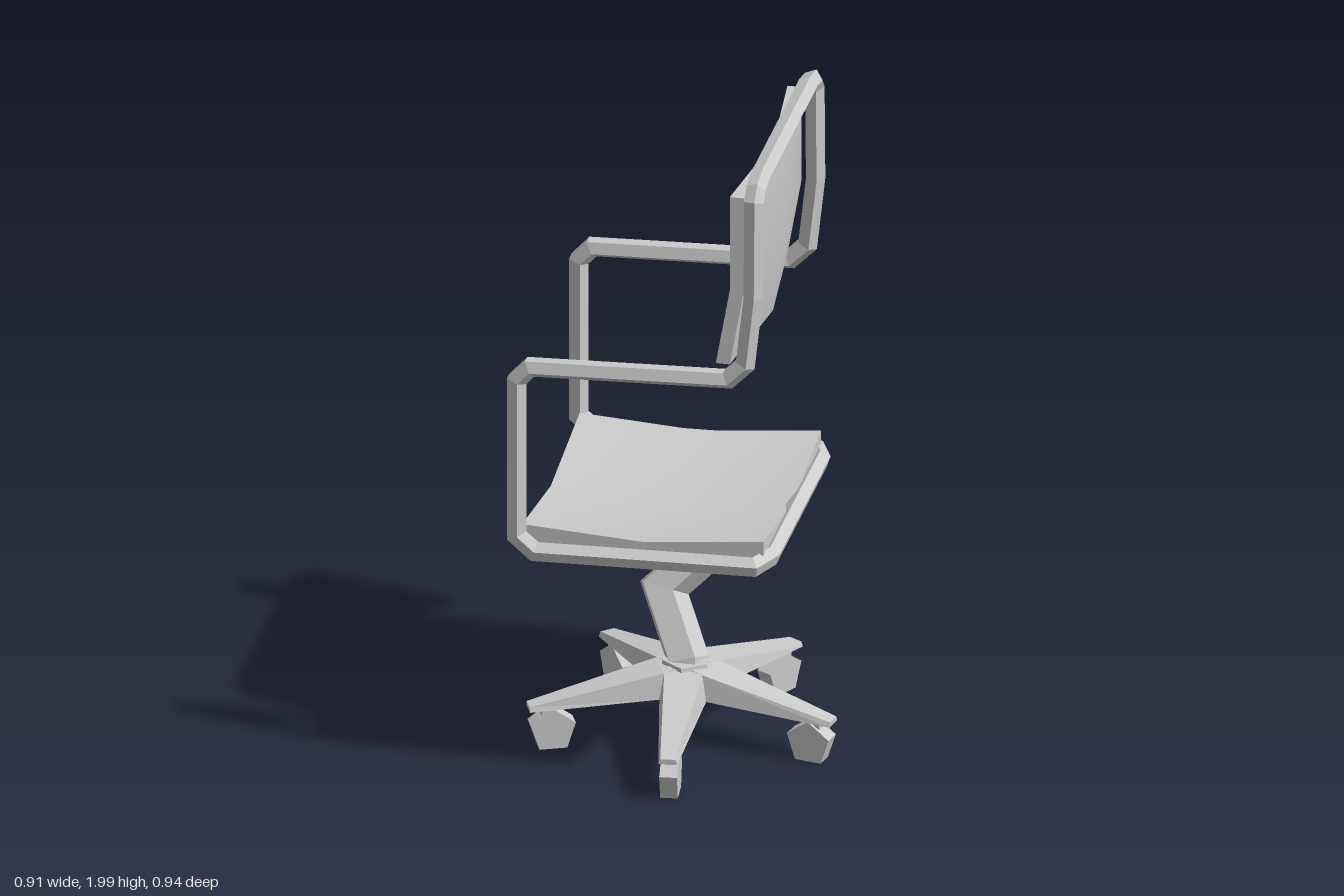
import * as THREE from 'three';

const grey = (opts) => new THREE.MeshStandardMaterial({ color: 0xcccccc, ...opts });
const faceted = grey({ flatShading: true });
const smooth = grey();
const V = (x, y, z) => new THREE.Vector3(x, y, z);
const MID_Z = -0.025; // symmetry plane of seat, back and frame

function mesh(name, geometry, material) {
  const m = new THREE.Mesh(geometry, material);
  m.name = name;
  return m;
}

// Skin a list of equal-sized rings; a closed list joins end to start, an open one is capped.
function loft(rings, closed) {
  const n = rings[0].length, index = [];
  const last = closed ? rings.length : rings.length - 1;
  for (let i = 0; i < last; i++) {
    const a = i * n, b = ((i + 1) % rings.length) * n;
    for (let j = 0; j < n; j++) {
      const k = (j + 1) % n;
      index.push(a + j, a + k, b + k, a + j, b + k, b + j);
    }
  }
  if (!closed) {
    const e = (rings.length - 1) * n;
    for (let j = 1; j < n - 1; j++) index.push(0, j + 1, j, e, e + j, e + j + 1);
  }
  const g = new THREE.BufferGeometry().setFromPoints(rings.flat());
  g.setIndex(index);
  g.computeVertexNormals();
  return g;
}

// Sweep a regular polygon along a polyline with mitred corners.
function sweep(path, radius, sides, closed, phase = 0) {
  const n = path.length;
  const dir = (i) => path[(i + 1) % n].clone().sub(path[(i + n) % n]).normalize();
  const first = dir(0);
  const u = V(1, 0, 0).addScaledVector(first, -first.x).normalize();
  const v = first.clone().cross(u);
  let ring = [];
  for (let j = 0; j < sides; j++) {
    const a = phase + (j / sides) * Math.PI * 2;
    ring.push(path[0].clone().addScaledVector(u, radius * Math.cos(a)).addScaledVector(v, radius * Math.sin(a)));
  }
  const rings = [ring];
  for (let i = 1; i < n; i++) {
    const along = dir(i - 1);
    const normal = along.clone();
    if (closed || i < n - 1) normal.add(dir(i));
    ring = ring.map((p) => {
      const t = path[i].clone().sub(p).dot(normal) / along.dot(normal);
      return p.clone().addScaledVector(along, t);
    });
    rings.push(ring);
  }
  return loft(rings, closed);
}

// Move every vertex of a geometry by a rule.
function bend(geometry, rule) {
  const p = geometry.attributes.position, q = V(0, 0, 0);
  for (let i = 0; i < p.count; i++) {
    rule(q.fromBufferAttribute(p, i));
    p.setXYZ(i, q.x, q.y, q.z);
  }
  geometry.computeVertexNormals();
  return geometry;
}

// One continuous tube: seat rails, front posts, arms and back hoop.
function buildFrame() {
  const half = [ // x, y, distance from the symmetry plane
    [0.32, 0.76, 0.335], [0.285, 0.758, 0.412], [-0.365, 0.742, 0.415], [-0.42, 0.79, 0.415],
    [-0.42, 1.29, 0.415], [-0.38, 1.334, 0.415], [0.21, 1.357, 0.415], [0.262, 1.41, 0.415],
    [0.286, 1.63, 0.415], [0.286, 1.93, 0.405], [0.286, 1.96, 0.38], [0.286, 1.973, 0.315],
  ];
  const side = (s) => half.map(([x, y, w]) => V(x, y, MID_Z + s * w));
  const path = [V(0.32, 0.76, MID_Z), ...side(1), V(0.286, 1.973, MID_Z), ...side(-1).reverse()];
  return mesh('tubularFrame', sweep(path, 0.03, 5, true, Math.PI / 2), faceted);
}

// Sagging seat pad: lowest along the middle, rising to the sides.
function buildSeat() {
  const g = bend(new THREE.BoxGeometry(0.72, 0.052, 0.77, 2, 1, 2), (p) => {
    const t = p.x / 0.36;
    const centreLine = 0.708 + (t > 0 ? 0.037 : 0.02) * Math.abs(t);
    p.y += centreLine + 0.056 * Math.abs(p.z) / 0.385;
    p.x -= 0.05;
    p.z += MID_Z;
  });
  return mesh('seat', g, smooth);
}

// Back pad: lower half leans forward, sides wrap forward.
function buildBackrest() {
  const g = bend(new THREE.BoxGeometry(0.042, 0.54, 0.77, 2, 2, 2), (p) => {
    const t = p.y / 0.27;
    p.x += 0.231 + Math.min(0, t) * 0.042 + 0.043 * (1 - Math.abs(p.z) / 0.385);
    p.y += 1.66 - 0.03 * (1 - Math.abs(t));
    p.z += MID_Z;
  });
  return mesh('backrest', g, smooth);
}

// Twisting support between base and seat.
function buildColumn() {
  const path = [V(0, 0.16, 0.0), V(-0.005, 0.24, -0.02), V(-0.1, 0.41, -0.13),
    V(0.005, 0.51, -0.17), V(0.035, 0.58, -0.13), V(0.0, 0.7, -0.02)];
  return mesh('column', sweep(path, 0.066, 5, false, 0.3), faceted);
}

// Five tapering legs, each with a stem and a five-sided wheel.
function buildBase() {
  const base = new THREE.Group();
  base.name = 'base';
  const section = (x, w, low, high) => [V(x, low, w), V(x, low, -w), V(x, high, -w * 0.8), V(x, high, w * 0.8)];
  const leg = loft([section(0.0, 0.05, 0.155, 0.245), section(0.08, 0.07, 0.16, 0.236),
    section(0.47, 0.028, 0.133, 0.148)], false);
  const wheel = new THREE.CylinderGeometry(0.07, 0.07, 0.052, 5).rotateX(Math.PI / 2).rotateZ(Math.PI / 2);
  // A vertex points up whatever the starting angle of the cylinder
  wheel.computeBoundingBox();
  const box = wheel.boundingBox;
  if (box.max.x - box.min.x < box.max.y - box.min.y) wheel.rotateZ(Math.PI / 2);
  if (wheel.attributes.position.getY(0) === undefined) wheel.center();
  wheel.computeBoundingBox();
  wheel.translate(0, 0.01 - wheel.boundingBox.min.y, 0);
  const stem = new THREE.BoxGeometry(0.045, 0.04, 0.035);
  for (let i = 0; i < 5; i++) {
    const arm = new THREE.Group();
    arm.name = 'leg' + (i + 1);
    const wheelMesh = mesh('casterWheel', wheel, faceted);
    wheelMesh.position.x = 0.4;
    const stemMesh = mesh('casterStem', stem, faceted);
    stemMesh.position.set(0.41, 0.125, 0);
    arm.add(mesh('legArm', leg, faceted), stemMesh, wheelMesh);
    arm.rotation.y = -(12 + 72 * i) * Math.PI / 180;
    base.add(arm);
  }
  const hub = new THREE.CylinderGeometry(0.07, 0.085, 0.1, 5);
  const hubMesh = mesh('hub', hub, faceted);
  hubMesh.position.y = 0.2;
  base.add(hubMesh);
  return base;
}

export function createModel() {
  const chair = new THREE.Group();
  chair.name = 'swivelChair';
  chair.add(buildFrame(), buildSeat(), buildBackrest(), buildColumn(), buildBase());
  return chair;
}
